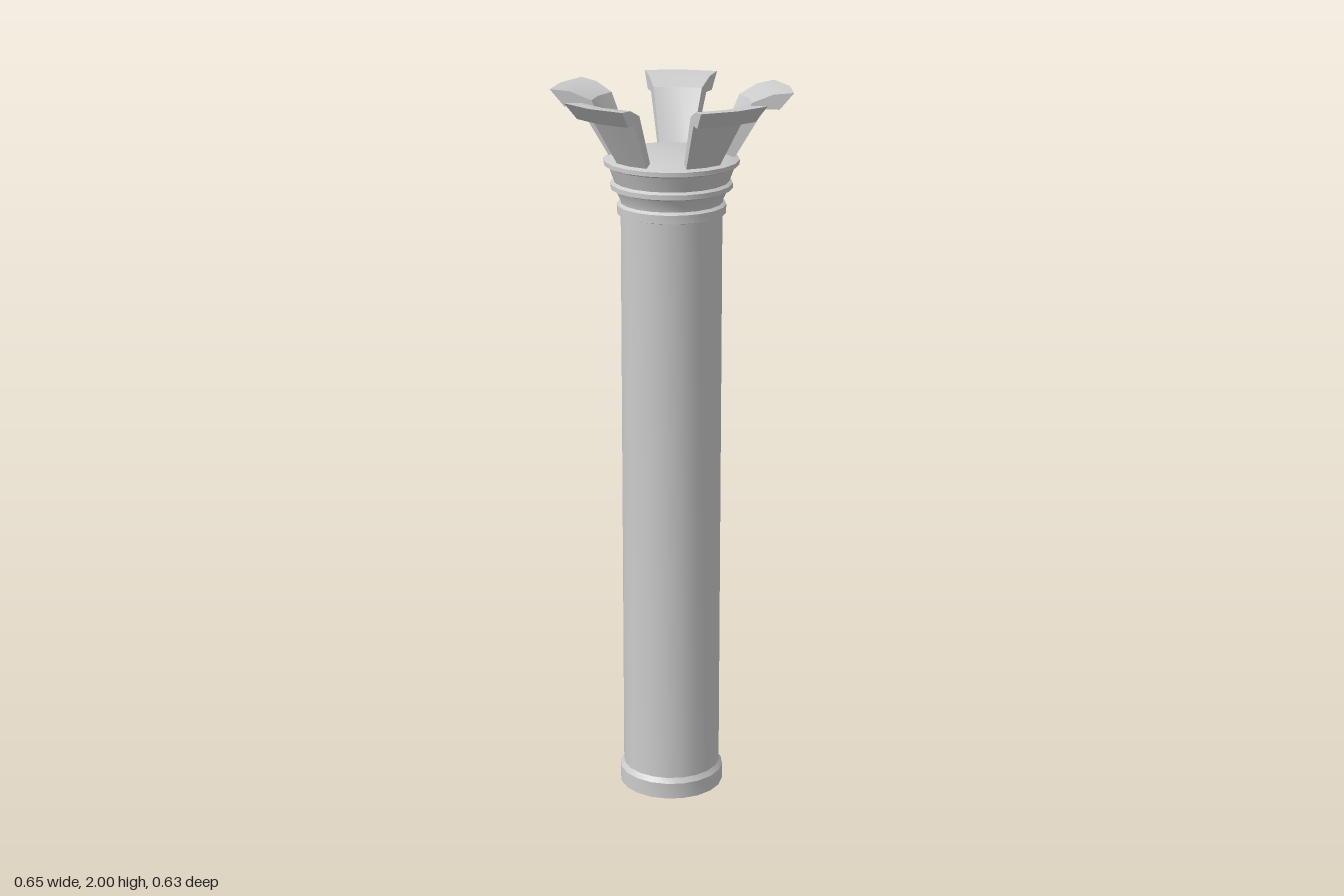
import * as THREE from 'three';
import { toCreasedNormals, mergeGeometries } from 'three/addons/utils/BufferGeometryUtils.js';

const SIDES = 20;
const STEP = (Math.PI * 2) / SIDES;
const material = new THREE.MeshStandardMaterial({ color: 0xcccccc, side: THREE.DoubleSide });
const points = (list) => list.map(([r, y]) => new THREE.Vector2(r, y));

function addMesh(group, name, geometry) {
  const mesh = new THREE.Mesh(toCreasedNormals(geometry, 0.6), material);
  mesh.name = name;
  group.add(mesh);
  return mesh;
}

const turned = (profile) => new THREE.LatheGeometry(points(profile), SIDES);

// Curved petal: a swept section closed by a flat cap on each side
function petalGeometry() {
  const section = points([
    [0.168, 1.825], [0.245, 1.955], [0.286, 1.955], [0.324, 2.0],
    [0.27, 1.995], [0.213, 1.972], [0.14, 1.825],
  ]);
  const sweep = new THREE.LatheGeometry([...section, section[0]], 2, -STEP, 2 * STEP);
  const caps = [-STEP, STEP].map((angle) =>
    new THREE.ShapeGeometry(new THREE.Shape(section)).rotateY(angle - Math.PI / 2));
  return mergeGeometries([sweep, ...caps].map((g) => {
    const flat = g.toNonIndexed();
    flat.deleteAttribute('uv');
    return flat;
  }));
}

export function createModel() {
  const model = new THREE.Group();
  model.name = 'column';
  const body = new THREE.Group();
  body.name = 'columnBody';
  body.position.z = -0.008;
  model.add(body);

  // Open foot ring and shaft
  addMesh(body, 'base', turned([[0.147, 0], [0.147, 0.046], [0.137, 0.06]]));
  addMesh(body, 'shaft', turned([[0.137, 0.02], [0.137, 1.68]]));

  // Stacked neck mouldings
  addMesh(body, 'neckRing', turned([
    [0.137, 1.672], [0.147, 1.675], [0.147, 1.698], [0.137, 1.705],
  ]));
  addMesh(body, 'capital', turned([
    [0.137, 1.7], [0.14, 1.715], [0.151, 1.738], [0.164, 1.743], [0.164, 1.756],
    [0.155, 1.762], [0.17, 1.803], [0.182, 1.808], [0.182, 1.82], [0.145, 1.834], [0, 1.834],
  ]));

  // Crown of five flared petals
  const petal = petalGeometry();
  for (let i = 0; i < 5; i++) {
    addMesh(body, `petal${i + 1}`, petal).rotation.y = (i * Math.PI * 2) / 5;
  }
  return model;
}
